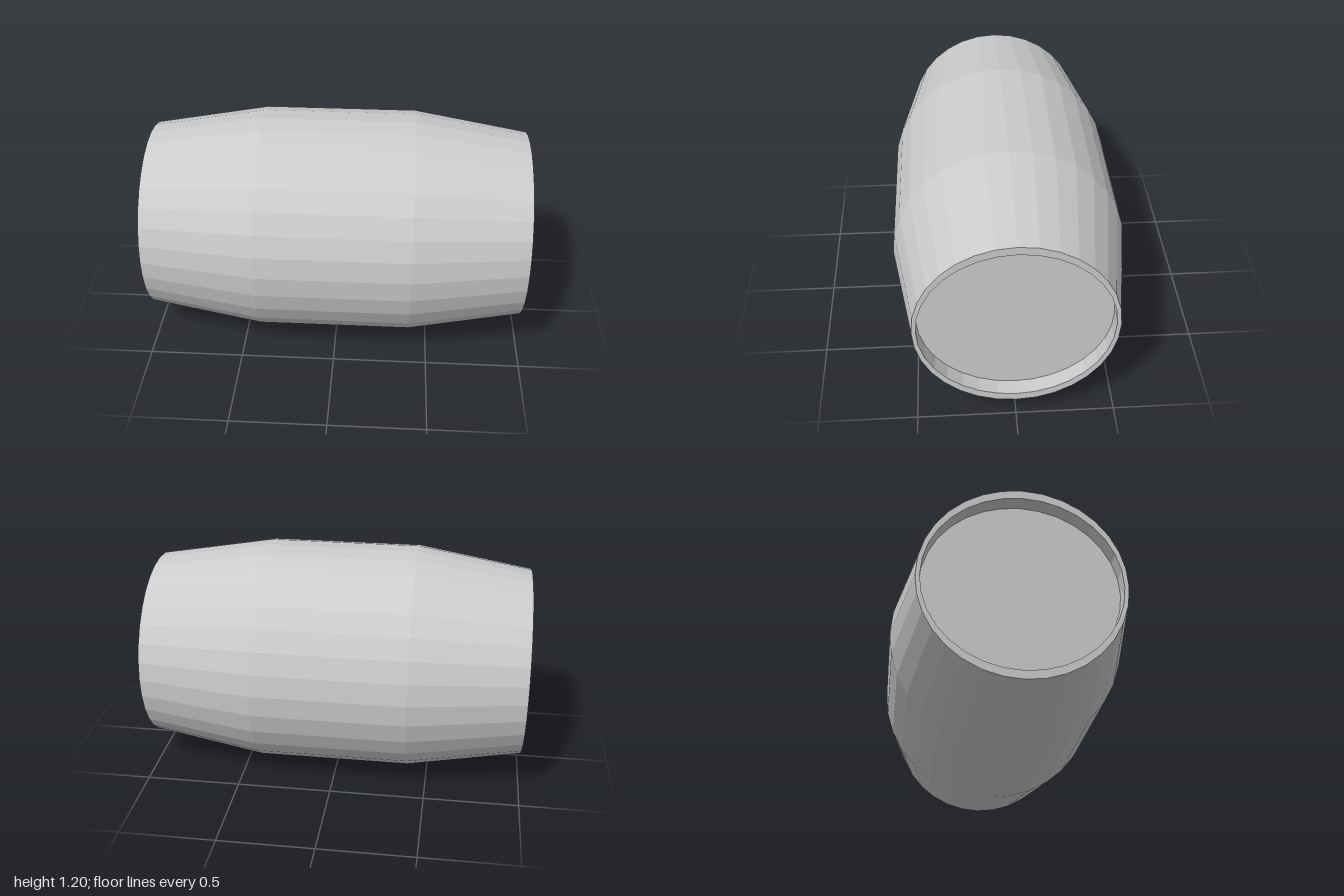
import * as THREE from 'three';

const SIDES = 32;
const material = new THREE.MeshStandardMaterial({ color: 0xcccccc, flatShading: true });

// Faceted surface turned around the x axis; profile points are [radius, x].
// Radii inside the recess are squeezed in y, making the opening slightly oval.
function turned(name, profile) {
  const points = profile.map(([r, x]) => new THREE.Vector2(r, x));
  const lathe = new THREE.LatheGeometry(points, SIDES).rotateZ(-Math.PI / 2);
  const pos = lathe.attributes.position;
  for (let i = 0; i < pos.count; i++) {
    if (Math.hypot(pos.getY(i), pos.getZ(i)) < 0.49) pos.setY(i, pos.getY(i) * 0.953);
  }
  const geometry = lathe.toNonIndexed();
  geometry.computeVertexNormals();
  const mesh = new THREE.Mesh(geometry, material);
  mesh.name = name;
  return mesh;
}

export function createModel() {
  const barrel = new THREE.Group();
  barrel.name = 'barrel';

  // Bulging outer wall
  barrel.add(turned('barrelWall', [[0.5, -1], [0.6, -0.4], [0.6, 0.4], [0.5, 1]]));

  // Both ends: flat rim, recess wall and sunken lid
  for (const side of ['left', 'right']) {
    const end = new THREE.Group();
    end.name = side + 'End';
    end.add(
      turned('rim', [[0.5, 1], [0.479, 1]]),
      turned('recessWall', [[0.479, 1], [0.479, 0.915]]),
      turned('lid', [[0.479, 0.915], [0, 0.915]])
    );
    if (side === 'right') end.rotation.y = Math.PI;
    barrel.add(end);
  }

  barrel.position.y = 0.6;
  const model = new THREE.Group();
  model.add(barrel);
  return model;
}
